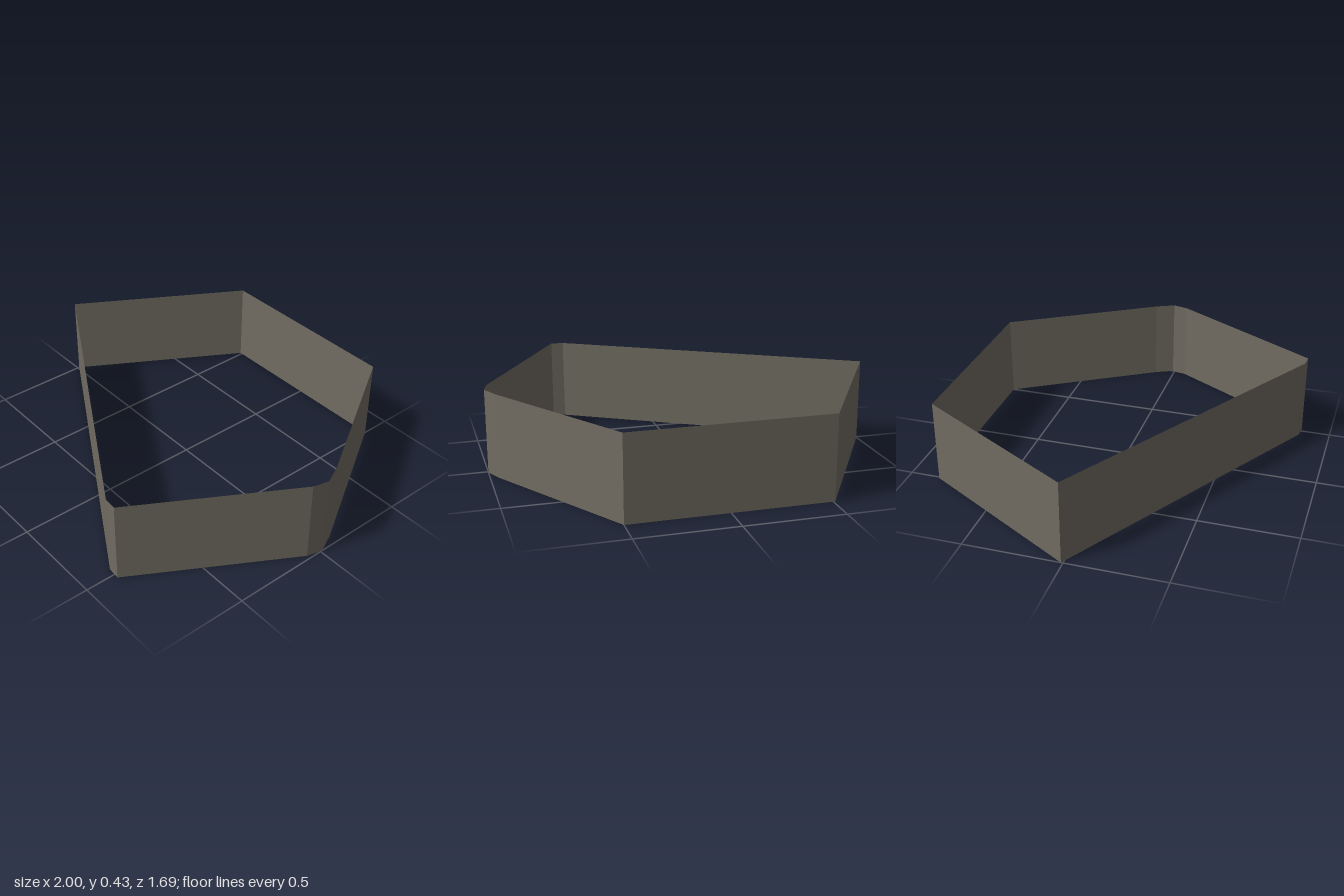
import * as THREE from 'three';

const HEIGHT = 0.43;

// Plan of the wall as [x, z], running from the left-hand tip round the front
const PLAN = [
  [-1, -0.01], [0.46, 0.84], [0.525, 0.845],
  [0.98, 0.07], [1, -0.01], [0.955, -0.105],
  [0.5, -0.843], [-0.51, -0.843],
];

export function createModel() {
  const group = new THREE.Group();
  group.name = 'openRing';
  const stone = new THREE.MeshStandardMaterial({ color: 0x716c62, side: THREE.DoubleSide });
  stone.name = 'greyBrown';

  // One upright sheet per side, facing outward; no top or bottom
  PLAN.forEach(([x0, z0], i) => {
    const [x1, z1] = PLAN[(i + 1) % PLAN.length];
    const dx = x1 - x0, dz = z1 - z0;
    const wall = new THREE.Mesh(new THREE.PlaneGeometry(Math.hypot(dx, dz), HEIGHT), stone);
    wall.name = `wallPanel${i + 1}`;
    wall.position.set((x0 + x1) / 2, HEIGHT / 2, (z0 + z1) / 2);
    wall.rotation.y = Math.atan2(-dz, dx);
    group.add(wall);
  });
  return group;
}
